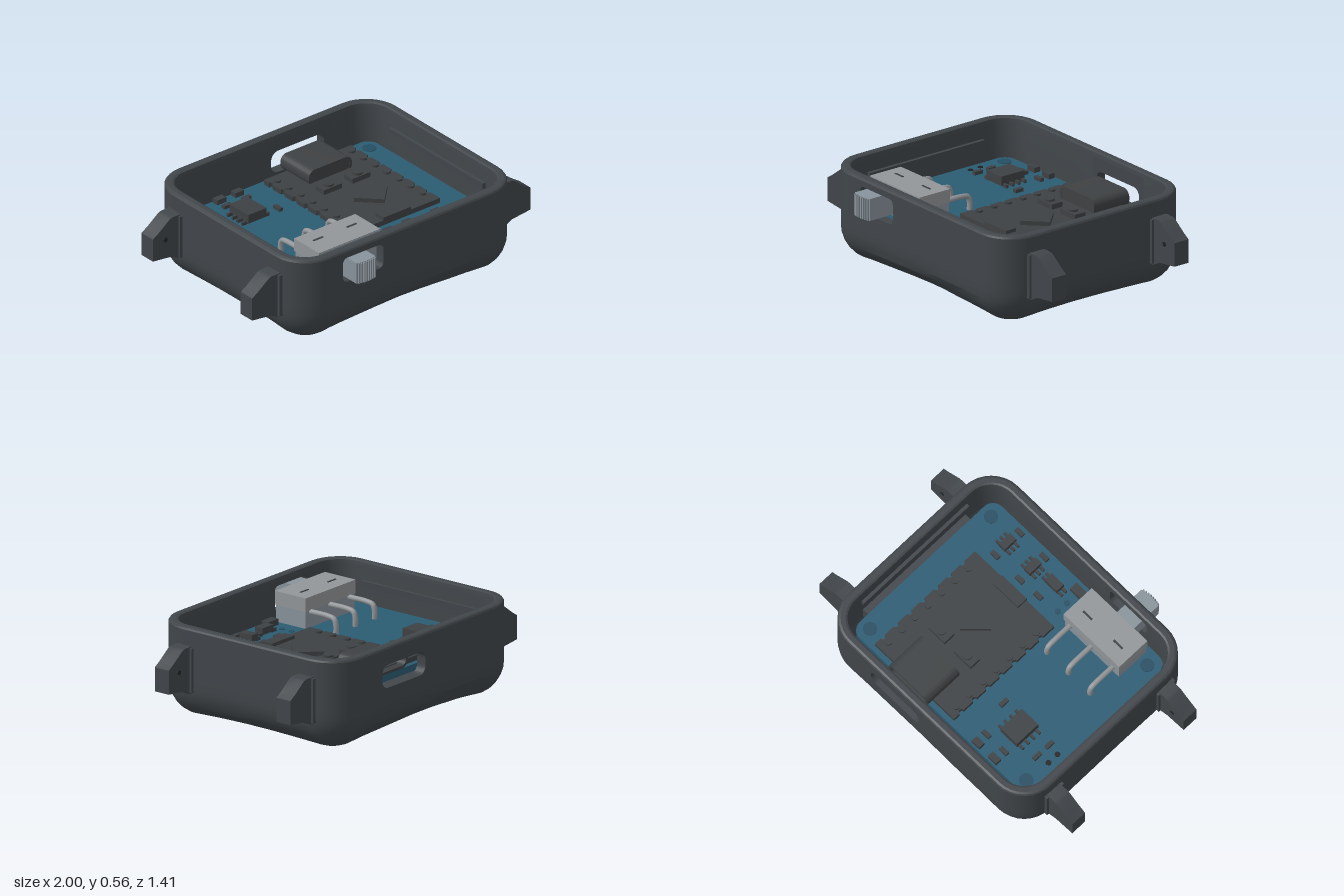
import * as THREE from 'three';
import { toCreasedNormals } from 'three/addons/utils/BufferGeometryUtils.js';

const flat = (name, color) => new THREE.MeshStandardMaterial({ name, color });
const M = {
  shell: flat('charcoal plastic', 0x41464a),
  part: flat('component grey', 0x3e4143),
  hole: flat('hole black', 0x1f2224),
  board: flat('board blue', 0x2a5b72),
  boardDark: flat('mounting hole blue', 0x244e62),
  steel: flat('switch steel', 0x929699),
  knob: flat('switch grey', 0x88939b),
};

const CZ = -0.0475, HX = 0.8, HZ = 0.6625, R = 0.21, WALL = 0.06;
const PCB = 0.34, MOD = 0.37;

function add(parent, name, geo, mat, x = 0, y = 0, z = 0) {
  const m = new THREE.Mesh(geo, mat);
  m.name = name;
  m.position.set(x, y, z);
  parent.add(m);
  return m;
}
// box resting on height y
const block = (p, name, mat, x, y, z, w, h, d) =>
  add(p, name, new THREE.BoxGeometry(w, h, d), mat, x, y + h / 2, z);
const disc = (p, name, mat, x, y, z, r, h) =>
  add(p, name, new THREE.CylinderGeometry(r, r, h, 20), mat, x, y + h / 2, z);

function roundRect(x0, y0, x1, y1, r, s = new THREE.Shape()) {
  s.moveTo(x0 + r, y0);
  s.lineTo(x1 - r, y0).absarc(x1 - r, y0 + r, r, -Math.PI / 2, 0);
  s.lineTo(x1, y1 - r).absarc(x1 - r, y1 - r, r, 0, Math.PI / 2);
  s.lineTo(x0 + r, y1).absarc(x0 + r, y1 - r, r, Math.PI / 2, Math.PI);
  s.lineTo(x0, y0 + r).absarc(x0 + r, y0 + r, r, Math.PI, Math.PI * 1.5);
  return s;
}
const extrude = (s, depth) =>
  toCreasedNormals(new THREE.ExtrudeGeometry(s, { depth, bevelEnabled: false, curveSegments: 8 }), 0.6);
// plan shape (x, z) extruded upwards
const slab = (s, h) => extrude(s, h).rotateX(Math.PI / 2).translate(0, h, 0);

// Perimeter anchors: a base point and an outward direction
function perimeter() {
  const bx = HX - R, bz = HZ - R, list = [];
  const corner = (sx, sz, a0) => {
    for (let i = 0; i <= 8; i++) {
      const a = a0 + (i / 8) * Math.PI / 2;
      list.push({ x: sx * bx, z: sz * bz, nx: Math.cos(a), nz: Math.sin(a), arch: 0 });
    }
  };
  const side = (xs, nz) => xs.forEach(x =>
    list.push({ x, z: nz * bz, nx: 0, nz, arch: 1 - (x / bx) ** 2 }));
  const end = (zs, nx) => zs.forEach(z =>
    list.push({ x: nx * bx, z, nx, nz: 0, arch: 0.4 * (1 - (z / bz) ** 2) }));
  corner(1, 1, 0);
  side([0.45, 0.3, 0.15, 0, -0.16, -0.53], 1);
  corner(-1, 1, Math.PI / 2);
  end([0.3, 0.12, -0.08, -0.28], -1);
  corner(-1, -1, Math.PI);
  side([-0.45, -0.3, -0.15, 0, 0.45], -1);
  corner(1, -1, Math.PI * 1.5);
  end([-0.3, -0.1, 0.1, 0.28], 1);
  return list;
}

// Wall profile swept round the perimeter, leaving two rectangular windows
function shellGeometry() {
  const prof = [];
  for (let i = 0; i <= 7; i++) {
    const a = (i / 7) * Math.PI / 2;
    prof.push([0.19 * (1 - Math.sin(a)), 0.01 + 0.2 * (1 - Math.cos(a))]);
  }
  prof.push([0, 0.27], [0, 0.53], [0, 0.545], [0.006, 0.555], [0.018, 0.56], [0.045, 0.56],
    [0.056, 0.555], [WALL, 0.53], [WALL, 0.27], [WALL, 0.2], [0.09, 0.11], [0.16, 0.06]);
  const ring = perimeter(), n = ring.length, pos = [], idx = [];
  prof.forEach(([inset, y], j) => ring.forEach((p, k) => {
    const low = j < 7 ? 1 - y / 0.21 : 0;
    const rough = low * p.arch * 0.03 * Math.abs(Math.sin(k * 12.9 + j * 7.3));
    const d = R - inset - rough;
    pos.push(p.x + p.nx * d, y + low * p.arch * 0.025, CZ + p.z + p.nz * d);
  }));
  for (let j = 0; j < prof.length - 1; j++) for (let k = 0; k < n; k++) {
    const q = (k + 1) % n, A = ring[k], B = ring[q];
    const opening = prof[j][1] !== prof[j + 1][1] &&
      Math.min(prof[j][1], prof[j + 1][1]) === 0.27 && Math.max(prof[j][1], prof[j + 1][1]) === 0.53;
    const front = A.nz === 1 && A.x === -0.16 && B.x === -0.53;
    const back = A.nz === -1 && A.x === 0 && B.x === 0.45;
    if (opening && (front || back)) continue;
    const a = j * n + k, b = j * n + q, c = b + n, d = a + n;
    idx.push(a, d, b, b, d, c);
  }
  // underside and inner floor
  const o = pos.length / 3, last = (prof.length - 1) * n;
  pos.push(0, 0.012, CZ, 0, 0.06, CZ);
  for (let k = 0; k < n; k++) {
    const q = (k + 1) % n;
    idx.push(o, k, q, o + 1, last + q, last + k);
  }
  const g = new THREE.BufferGeometry();
  g.setAttribute('position', new THREE.Float32BufferAttribute(pos, 3));
  g.setIndex(idx);
  return toCreasedNormals(g, 0.3);
}

function buildCase(g) {
  add(g, 'caseShell', shellGeometry(), M.shell);
  disc(g, 'bottomDisc', M.shell, 0, 0, CZ, 0.42, 0.03);
  // wall panels with rounded openings
  const panel = (name, x0, x1, hole, z) => {
    const s = new THREE.Shape([[x0, 0.27], [x1, 0.27], [x1, 0.53], [x0, 0.53]].map(p => new THREE.Vector2(...p)));
    s.holes.push(roundRect(...hole, new THREE.Path()));
    add(g, name, extrude(s, WALL), M.shell, 0, 0, z);
  };
  panel('switchOpening', -0.53, -0.16, [-0.49, 0.36, -0.2, 0.51, 0.03], CZ + HZ - WALL);
  panel('portOpening', 0, 0.45, [0.03, 0.32, 0.41, 0.455, 0.05], CZ - HZ);
  // strap lugs, lid ridges and board ledges
  const lug = new THREE.Shape([[0.76, 0.18], [0.81, 0.18], [0.87, 0.21], [1, 0.225], [1, 0.365], [0.96, 0.39],
    [0.88, 0.45], [0.86, 0.457], [0.76, 0.457]].map(p => new THREE.Vector2(...p)));
  for (const s of [1, -1]) {
    for (const [z, inner] of [[0.39, -1], [-0.48, 1]]) {
      const geo = extrude(lug, 0.1).translate(0, 0, -0.05);
      if (s < 0) geo.rotateY(Math.PI);
      add(g, 'strapLug', geo, M.shell, 0, 0, z);
      const pin = disc(g, 'pinHole', M.hole, s * 0.91, 0.33, z + inner * 0.051, 0.014, 0.004);
      pin.rotation.x = Math.PI / 2;
      block(g, 'lugFlare', M.shell, s * 0.802, 0.19, z, 0.03, 0.26, 0.13);
    }
    block(g, 'lidRidge', M.shell, s * 0.735, 0.42, CZ, 0.03, 0.035, 0.82);
    block(g, 'boardLedge', M.shell, s * 0.7, 0.2, CZ, 0.1, 0.1, 0.8);
    for (const z of [-0.5, 0.41]) disc(g, 'boardPost', M.shell, s * 0.6, 0.05, z, 0.07, 0.25);
  }
}

function buildBoard(g) {
  add(g, 'circuitBoard', slab(roundRect(-0.69, -0.59, 0.69, 0.52, 0.07), 0.04), M.board, 0, PCB - 0.04, 0);
  for (const [x, z] of [[-0.625, -0.52], [0.62, -0.51], [-0.615, 0.435], [0.62, 0.435]])
    disc(g, 'mountingHole', M.boardDark, x, PCB, z, 0.04, 0.003);
  for (const [x, z] of [[-0.64, -0.36], [-0.64, -0.29]]) disc(g, 'via', M.hole, x, PCB, z, 0.016, 0.003);
  for (const [x, z] of [[-0.04, 0.305], [-0.04, 0.375]]) disc(g, 'via', M.boardDark, x, PCB, z, 0.017, 0.003);
  // small surface parts: x, z, width, depth, height
  [[-0.415, -0.56, 0.065, 0.04, 0.03], [-0.285, -0.56, 0.06, 0.04, 0.03], [-0.42, -0.49, 0.055, 0.026, 0.02],
    [-0.28, -0.49, 0.055, 0.026, 0.02], [-0.57, -0.38, 0.024, 0.055, 0.02], [-0.57, -0.285, 0.024, 0.055, 0.02],
    [-0.215, -0.29, 0.026, 0.055, 0.02], [0.1, 0.29, 0.055, 0.028, 0.02], [0.24, 0.285, 0.055, 0.028, 0.02],
    [0.44, 0.29, 0.055, 0.028, 0.02], [0.24, 0.475, 0.055, 0.028, 0.02], [0.44, 0.48, 0.055, 0.028, 0.02],
    [-0.045, 0.465, 0.09, 0.05, 0.035],
  ].forEach(([x, z, w, d, h]) => block(g, 'surfacePart', M.part, x, PCB, z, w, h, d));
  // chips with legs along both sides
  const chip = (x, z, w, d, h, legs, pitch) => {
    block(g, 'chip', M.part, x, PCB + 0.008, z, w, h, d);
    for (const s of [1, -1]) for (let i = 0; i < legs; i++)
      block(g, 'chipLeg', M.part, x + s * (w / 2 + 0.012), PCB, z + (i - (legs - 1) / 2) * pitch, 0.04, 0.02, 0.014);
  };
  chip(-0.39, -0.34, 0.13, 0.165, 0.055, 4, 0.043);
  chip(0.24, 0.385, 0.05, 0.09, 0.04, 3, 0.032);
  chip(0.44, 0.385, 0.05, 0.09, 0.04, 3, 0.032);
  chip(0.085, 0.4, 0.095, 0.055, 0.04, 2, 0.03);
}

function buildModule(g) {
  // board with notched long edges
  const s = new THREE.Shape(), zs = Array.from({ length: 7 }, (_, i) => -0.5 + i * 0.1035);
  s.moveTo(-0.095, -0.56).lineTo(0.53, -0.56);
  zs.forEach(z => s.lineTo(0.53, z - 0.016).absarc(0.53, z, 0.016, -Math.PI / 2, Math.PI / 2, true));
  s.lineTo(0.53, 0.22).lineTo(-0.095, 0.22);
  [...zs].reverse().forEach(z => s.lineTo(-0.095, z + 0.016).absarc(-0.095, z, 0.016, Math.PI / 2, -Math.PI / 2, true));
  add(g, 'controllerBoard', slab(s, MOD - PCB), M.part, 0, PCB, 0);
  for (const z of zs) for (const x of [-0.05, 0.485]) disc(g, 'pinPad', M.part, x, MOD, z, 0.021, 0.012);
  const core = block(g, 'processor', M.part, 0.253, MOD, -0.048, 0.17, 0.025, 0.17);
  core.rotation.y = Math.PI / 4;
  for (const x of [0.115, 0.32]) {
    block(g, 'button', M.part, x, MOD, -0.25, 0.13, 0.03, 0.075);
    disc(g, 'buttonCap', M.part, x, MOD + 0.03, -0.25, 0.03, 0.012);
  }
  block(g, 'socket', M.part, 0.22, MOD, 0.188, 0.195, 0.02, 0.07);
  // hollow port facing the back wall, with inner tongue
  const port = roundRect(0.063, 0.35, 0.373, 0.45, 0.045);
  port.holes.push(roundRect(0.078, 0.365, 0.358, 0.435, 0.033, new THREE.Path()));
  add(g, 'portSleeve', extrude(port, 0.25), M.part, 0, 0, -0.61);
  add(g, 'portBack', extrude(roundRect(0.065, 0.352, 0.371, 0.448, 0.044), 0.03), M.part, 0, 0, -0.392);
  block(g, 'portTongue', M.part, 0.218, 0.39, -0.48, 0.22, 0.02, 0.2);
}

function buildSwitch(g) {
  block(g, 'switchBody', M.knob, -0.34, PCB, 0.38, 0.43, 0.13, 0.21);
  block(g, 'switchCover', M.steel, -0.34, 0.44, 0.38, 0.44, 0.08, 0.22);
  block(g, 'switchFace', M.knob, -0.34, 0.35, 0.488, 0.42, 0.165, 0.008);
  for (const x of [-0.46, -0.22]) block(g, 'coverSlot', M.part, x, 0.52, 0.36, 0.07, 0.003, 0.012);
  // sliding knob with a ribbed, bowed end
  const plan = new THREE.Shape();
  plan.moveTo(-0.45, 0.48).lineTo(-0.315, 0.48).lineTo(-0.315, 0.685);
  plan.quadraticCurveTo(-0.3825, 0.705, -0.45, 0.685);
  add(g, 'switchKnob', slab(plan, 0.13), M.knob, 0, 0.37, 0);
  for (let i = 0; i < 8; i++) {
    const x = -0.4395 + i * 0.0163, t = (x + 0.3825) / 0.0675;
    block(g, 'knobRib', M.knob, x, 0.372, 0.69 + 0.01 * (1 - t * t), 0.007, 0.126, 0.01);
  }
  // bent terminals
  for (const x of [-0.51, -0.34, -0.17]) {
    const path = new THREE.CatmullRomCurve3([[0.28, 0.43], [0.15, 0.43], [0.105, 0.42], [0.093, 0.39], [0.093, 0.33]]
      .map(([z, y]) => new THREE.Vector3(x, y, z)), false, 'centripetal');
    add(g, 'switchTerminal', new THREE.TubeGeometry(path, 20, 0.016, 8), M.steel);
  }
}

export function createModel() {
  const model = new THREE.Group();
  model.name = 'wearableDevice';
  const section = (name, build) => {
    const g = new THREE.Group();
    g.name = name;
    build(g);
    model.add(g);
  };
  section('case', buildCase);
  section('mainBoard', buildBoard);
  section('controller', buildModule);
  section('slideSwitch', buildSwitch);
  return model;
}
